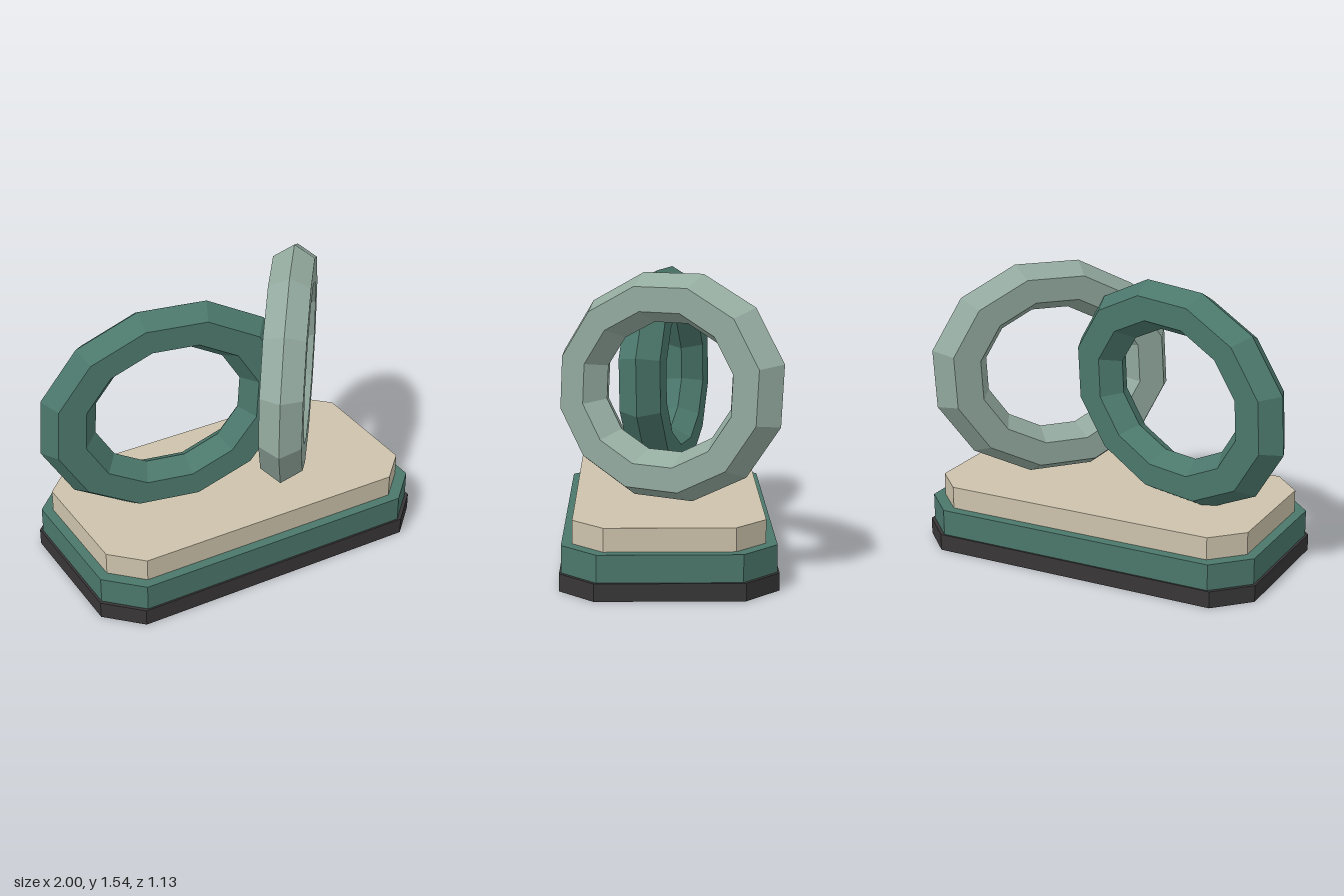
import * as THREE from 'three';

const mat = (name, color) => {
  const m = new THREE.MeshStandardMaterial({ color, flatShading: true });
  m.name = name;
  return m;
};

export function createModel() {
  const black = mat('charcoal', 0x383636);
  const green = mat('deep green', 0x4b776b);
  const sage = mat('pale sage', 0x93aa9f);
  const sand = mat('sand', 0xccc2ab);

  const group = new THREE.Group();
  group.name = 'twoRingSculpture';

  // Rectangular slab with cut corners, from y0 to y1
  function slab(name, material, halfX, halfZ, cut, y0, y1) {
    const a = halfX - cut, b = halfZ - cut;
    const shape = new THREE.Shape([
      [a, -halfZ], [halfX, -b], [halfX, b], [a, halfZ],
      [-a, halfZ], [-halfX, b], [-halfX, -b], [-a, -halfZ],
    ].map(([x, y]) => new THREE.Vector2(x, y)));
    const geo = new THREE.ExtrudeGeometry(shape, { depth: y1 - y0, bevelEnabled: false });
    geo.rotateX(-Math.PI / 2);
    const mesh = new THREE.Mesh(geo, material);
    mesh.name = name;
    mesh.position.set(0.026, y0, 0);
    group.add(mesh);
  }

  // Faceted oval ring, tilted in its own plane and then turned about y
  function ring(name, material, radius, tube, x, y, turn) {
    const geo = new THREE.TorusGeometry(radius, tube, 6, 12);
    geo.scale(1.2, 1, 1);
    const mesh = new THREE.Mesh(geo, material);
    mesh.name = name;
    mesh.position.set(x, y, 0);
    mesh.rotation.set(0, turn, 0.255);
    group.add(mesh);
  }

  // Stepped plinth
  slab('plinthFoot', black, 0.973, 0.545, 0.175, 0, 0.09);
  slab('plinthBody', green, 0.96, 0.535, 0.178, 0.09, 0.23);
  slab('plinthTop', sand, 0.907, 0.48, 0.156, 0.23, 0.35);

  // Interlocking rings
  ring('greenRing', green, 0.463, 0.127, -0.333, 0.907, -0.244);
  ring('sageRing', sage, 0.467, 0.129, 0.415, 0.953, 0.937);

  return group;
}
